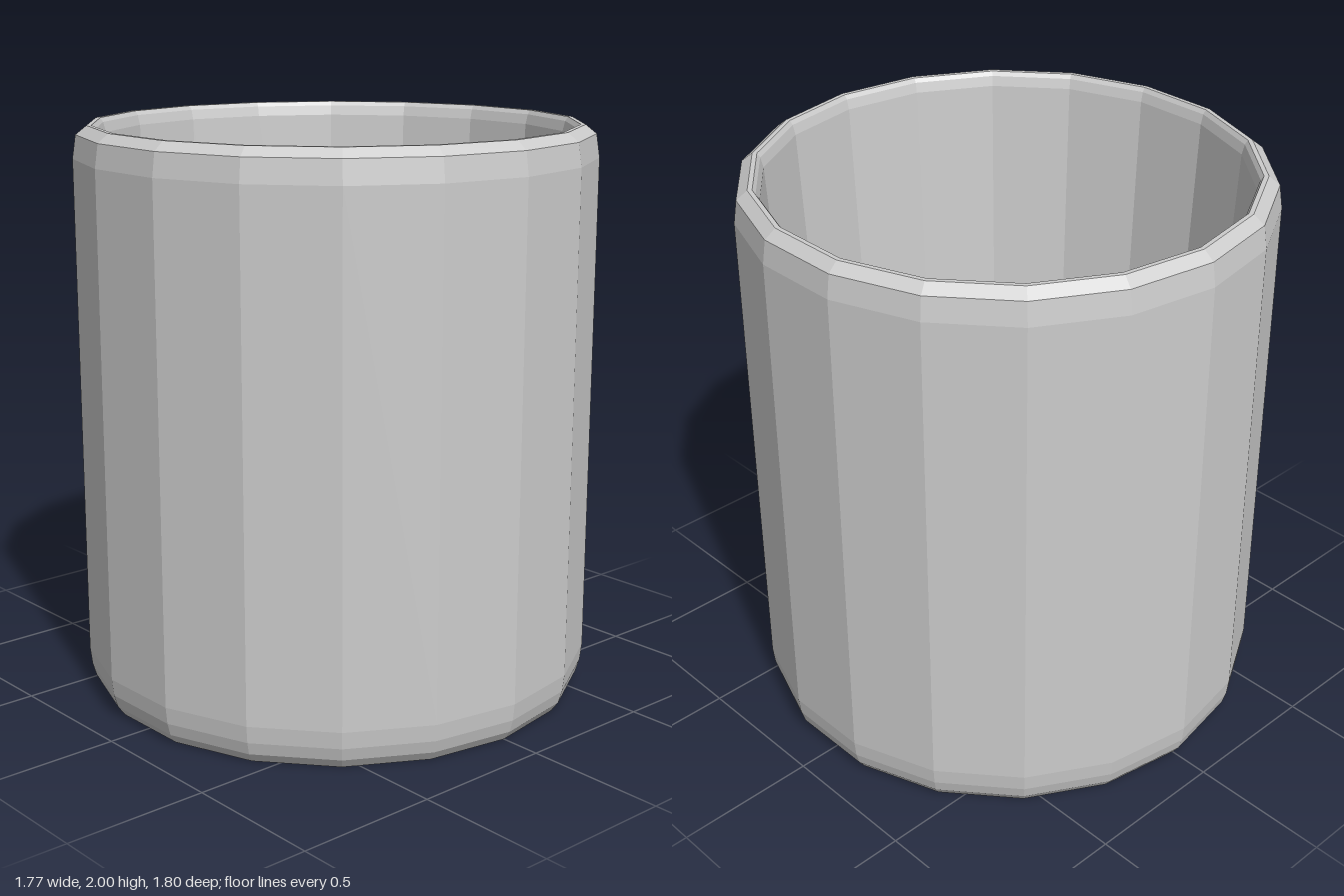
import * as THREE from 'three';

const SIDES = 18;

export function createModel() {
  const group = new THREE.Group();
  group.name = 'cup';
  const grey = new THREE.MeshStandardMaterial({ color: 0xcccccc, flatShading: true });
  grey.name = 'light grey';

  // Revolve a profile of [radius, height] points into a faceted part
  const turn = (name, profile) => {
    const points = profile.map(([r, y]) => new THREE.Vector2(r, y));
    const mesh = new THREE.Mesh(new THREE.LatheGeometry(points, SIDES), grey);
    mesh.name = name;
    group.add(mesh);
  };

  turn('base', [[0, 0], [0.855, 0]]);
  // Outer wall with rounded foot and shoulder
  turn('outerWall', [[0.855, 0], [0.88, 0.035], [0.893, 0.08], [0.9, 0.14], [0.9, 1.89], [0.888, 1.97]]);
  // Bevelled lip
  turn('rim', [[0.888, 1.97], [0.85, 2], [0.834, 2], [0.824, 1.985], [0.815, 1.95]]);
  // Slightly tapered inside
  turn('innerWall', [[0.815, 1.95], [0.725, 0.1]]);
  turn('innerFloor', [[0.725, 0.1], [0, 0.1]]);

  return group;
}
